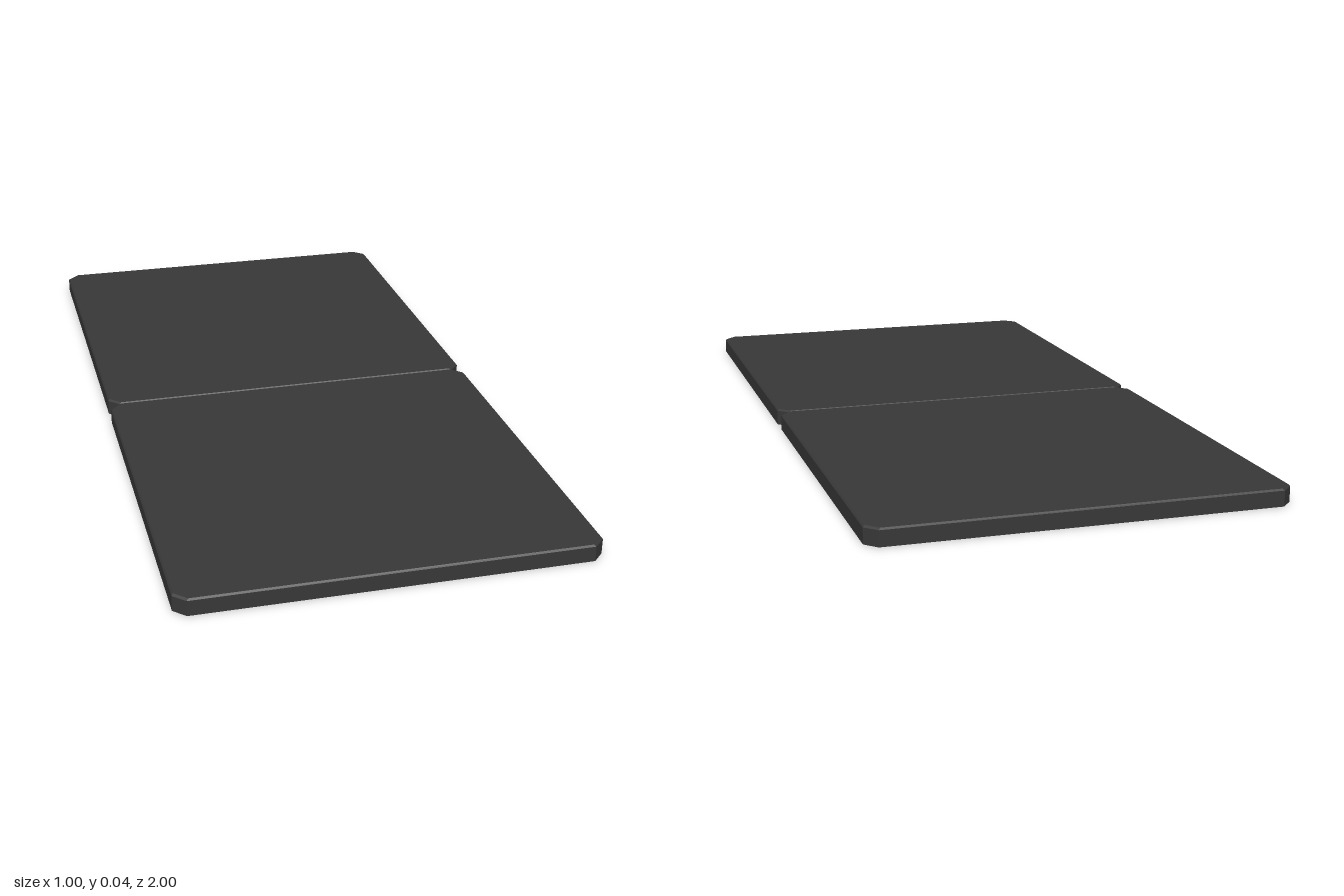
import * as THREE from 'three';

const HEIGHT = 0.042, BEVEL = 0.004, HALF = 0.5, CUT = 0.028;

// Square panel outline with clipped corners, centred on the origin (x, z)
function outline(half) {
  const c = half - CUT;
  return [
    [c, -half], [half, -c], [half, c], [c, half],
    [-c, half], [-half, c], [-half, -c], [-c, -half],
  ];
}

// Panel shell: open underneath and along the hinge edge (z = -half)
function panelGeometry() {
  const outer = outline(HALF), inner = outline(HALF - BEVEL);
  const n = outer.length, pos = [];
  const at = ([x, z], y) => [x, y, z];
  const quad = (a, b, c, d) => pos.push(...a, ...b, ...c, ...a, ...c, ...d);
  const shoulder = HEIGHT - BEVEL;
  for (let i = 0; i < n; i++) {
    const j = (i + 1) % n;
    // side wall, left out where the two panels meet
    if (i < n - 1) quad(at(outer[j], 0), at(outer[i], 0), at(outer[i], shoulder), at(outer[j], shoulder));
    // small bevel around the top
    quad(at(outer[j], shoulder), at(outer[i], shoulder), at(inner[i], HEIGHT), at(inner[j], HEIGHT));
    // top sheet
    pos.push(...at(inner[j], HEIGHT), ...at(inner[i], HEIGHT), 0, HEIGHT, 0);
  }
  const geometry = new THREE.BufferGeometry();
  geometry.setAttribute('position', new THREE.Float32BufferAttribute(pos, 3));
  geometry.computeVertexNormals();
  return geometry;
}

export function createModel() {
  const group = new THREE.Group();
  group.name = 'foldingPanel';
  const material = new THREE.MeshStandardMaterial({ color: 0x383838, side: THREE.DoubleSide });
  const geometry = panelGeometry();

  // Two equal panels meeting at the centre line
  for (const [name, side] of [['frontPanel', 1], ['backPanel', -1]]) {
    const panel = new THREE.Mesh(geometry, material);
    panel.name = name;
    panel.position.z = side * HALF;
    panel.rotation.y = side > 0 ? 0 : Math.PI;
    group.add(panel);
  }
  return group;
}
